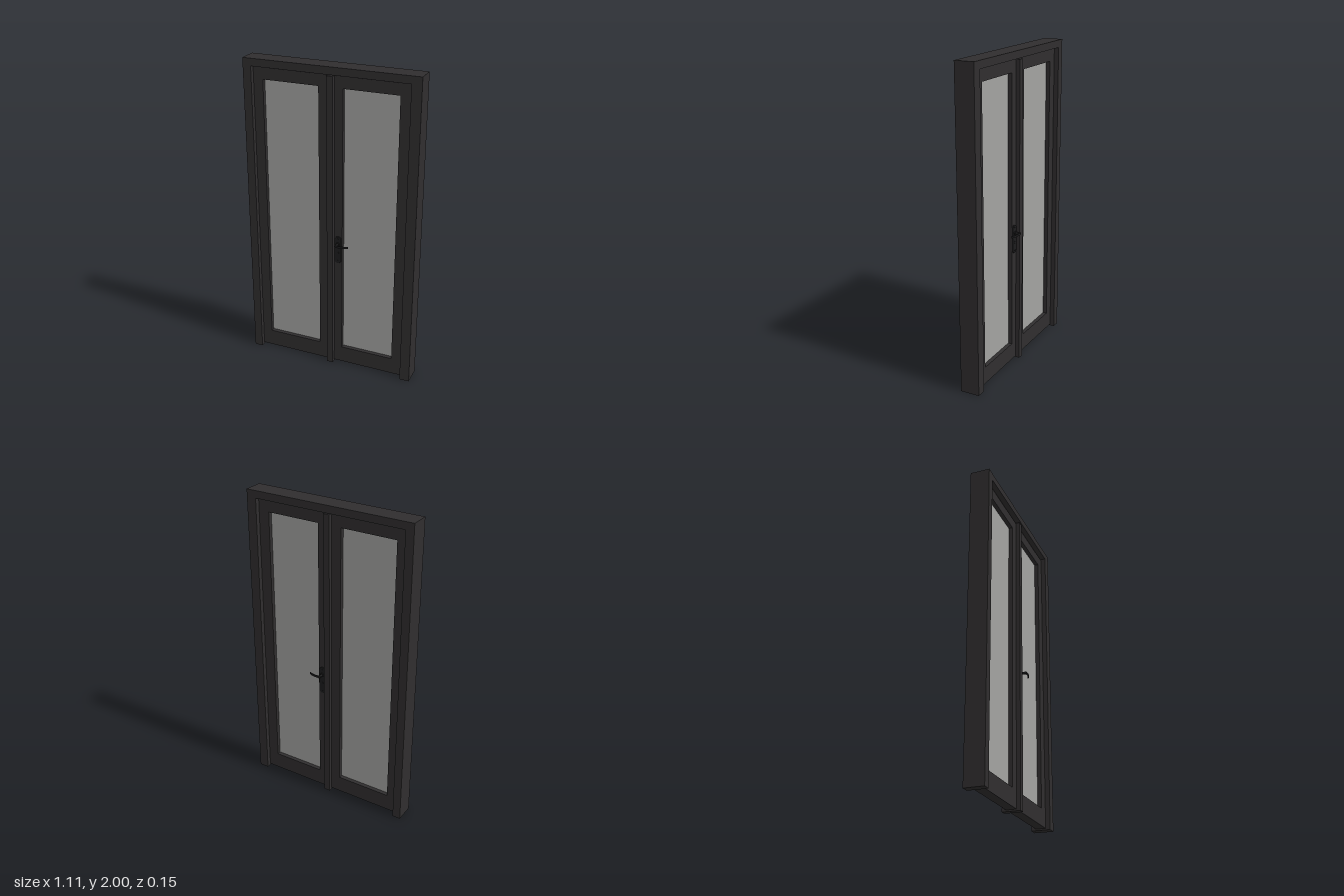
import * as THREE from 'three';

const dark = new THREE.MeshStandardMaterial({ color: 0x302e2f });
const black = new THREE.MeshStandardMaterial({ color: 0x1c1c1d });
const glassMat = new THREE.MeshStandardMaterial({ color: 0xa3a3a1 });

const FRAME_Z = 0.062; // half depth of the frame
const LEAF_Z = 0.032;  // half depth of the door leaves

function add(parent, name, geometry, material) {
  const mesh = new THREE.Mesh(geometry, material);
  mesh.name = name;
  parent.add(mesh);
  return mesh;
}

// Box given by its x and y limits and half depth
function slab(parent, name, x0, x1, y0, y1, halfZ, material = dark) {
  const mesh = add(parent, name, new THREE.BoxGeometry(x1 - x0, y1 - y0, halfZ * 2), material);
  mesh.position.set((x0 + x1) / 2, (y0 + y1) / 2, 0);
  return mesh;
}

function rectPoints(x0, x1, y0, y1) {
  return [[x0, y0], [x1, y0], [x1, y1], [x0, y1]].map(p => new THREE.Vector2(...p));
}

// Door leaf: a rim with a rectangular opening and a pane
function makeLeaf(name, x0, x1, y0, y1, glass) {
  const leaf = new THREE.Group();
  leaf.name = name;
  const shape = new THREE.Shape(rectPoints(x0, x1, y0, y1));
  shape.holes.push(new THREE.Path(rectPoints(...glass)));
  const rim = new THREE.ExtrudeGeometry(shape, { depth: LEAF_Z * 2, bevelEnabled: false });
  rim.translate(0, 0, -LEAF_Z);
  add(leaf, 'leafRim', rim, dark);
  slab(leaf, 'glassPane', ...glass, 0.006, glassMat);
  return leaf;
}

// Handle for the front face, with its origin on the leaf surface at the spindle
function makeHandle(name) {
  const handle = new THREE.Group();
  handle.name = name;

  // Stadium-shaped backplate
  const r = 0.021, top = 0.029, bottom = -0.109;
  const shape = new THREE.Shape();
  shape.absarc(0, top, r, 0, Math.PI, false);
  shape.absarc(0, bottom, r, Math.PI, Math.PI * 2, false);
  shape.closePath();
  add(handle, 'backplate', new THREE.ExtrudeGeometry(shape, {
    depth: 0.005, bevelThickness: 0.002, bevelSize: 0.002, bevelSegments: 2, curveSegments: 12,
  }), black);

  // Spindle and its collar
  for (const [part, radius, length] of [['collar', 0.012, 0.014], ['spindle', 0.008, 0.044]]) {
    const geo = new THREE.CylinderGeometry(radius, radius, length, 20);
    geo.rotateX(Math.PI / 2).translate(0, 0, length / 2);
    add(handle, part, geo, black);
  }

  // Flat lever curving back toward the door at its tip
  const lever = new THREE.Shape();
  lever.moveTo(-0.008, 0.034);
  lever.lineTo(-0.008, 0.045);
  lever.lineTo(0.025, 0.044);
  lever.quadraticCurveTo(0.062, 0.042, 0.078, 0.027);
  lever.lineTo(0.074, 0.024);
  lever.quadraticCurveTo(0.055, 0.037, 0.025, 0.038);
  lever.closePath();
  const leverGeo = new THREE.ExtrudeGeometry(lever, { depth: 0.013, bevelEnabled: false, curveSegments: 10 });
  leverGeo.rotateX(Math.PI / 2).translate(0, 0.0065, 0);
  add(handle, 'lever', leverGeo, black);

  // Lock cylinder and fixing screws
  for (const [part, y, radius] of [['lockCylinder', -0.06, 0.008], ['upperScrew', 0.036, 0.004], ['lowerScrew', -0.115, 0.004]]) {
    const geo = new THREE.CylinderGeometry(radius, radius, 0.01, 16);
    geo.rotateX(Math.PI / 2).translate(0, y, 0.005);
    add(handle, part, geo, black);
  }
  return handle;
}

export function createModel() {
  const door = new THREE.Group();
  door.name = 'doubleDoor';

  // Outer frame
  slab(door, 'rightJamb', -0.555, -0.502, 0, 1.953, FRAME_Z);
  slab(door, 'leftJamb', 0.492, 0.555, 0, 1.953, FRAME_Z);
  slab(door, 'head', -0.555, 0.555, 1.953, 2, FRAME_Z);

  // Post where the leaves meet
  slab(door, 'centrePost', -0.018, 0.022, 0, 1.945, FRAME_Z - 0.004);

  // Leaves
  door.add(makeLeaf('rightLeaf', -0.502, -0.018, 0.01, 1.944, [-0.44, -0.08, 0.12, 1.872]));
  door.add(makeLeaf('leftLeaf', 0.022, 0.492, 0.01, 1.944, [0.075, 0.422, 0.12, 1.872]));

  // Handles on both faces
  for (const side of [1, -1]) {
    const handle = makeHandle(side > 0 ? 'frontHandle' : 'backHandle');
    handle.position.set(0.048, 0.876, side * LEAF_Z);
    if (side < 0) {
      // Mirror the geometry through the leaf, keeping faces outward
      handle.children.forEach(mesh => {
        const geo = mesh.geometry = mesh.geometry.index ? mesh.geometry.toNonIndexed() : mesh.geometry;
        geo.scale(1, 1, -1);
        for (const attr of Object.values(geo.attributes)) {
          const n = attr.itemSize, a = attr.array;
          for (let i = 0; i < a.length; i += 3 * n) {
            for (let k = 0; k < n; k++) [a[i + n + k], a[i + 2 * n + k]] = [a[i + 2 * n + k], a[i + n + k]];
          }
        }
      });
    }
    door.add(handle);
  }
  return door;
}
